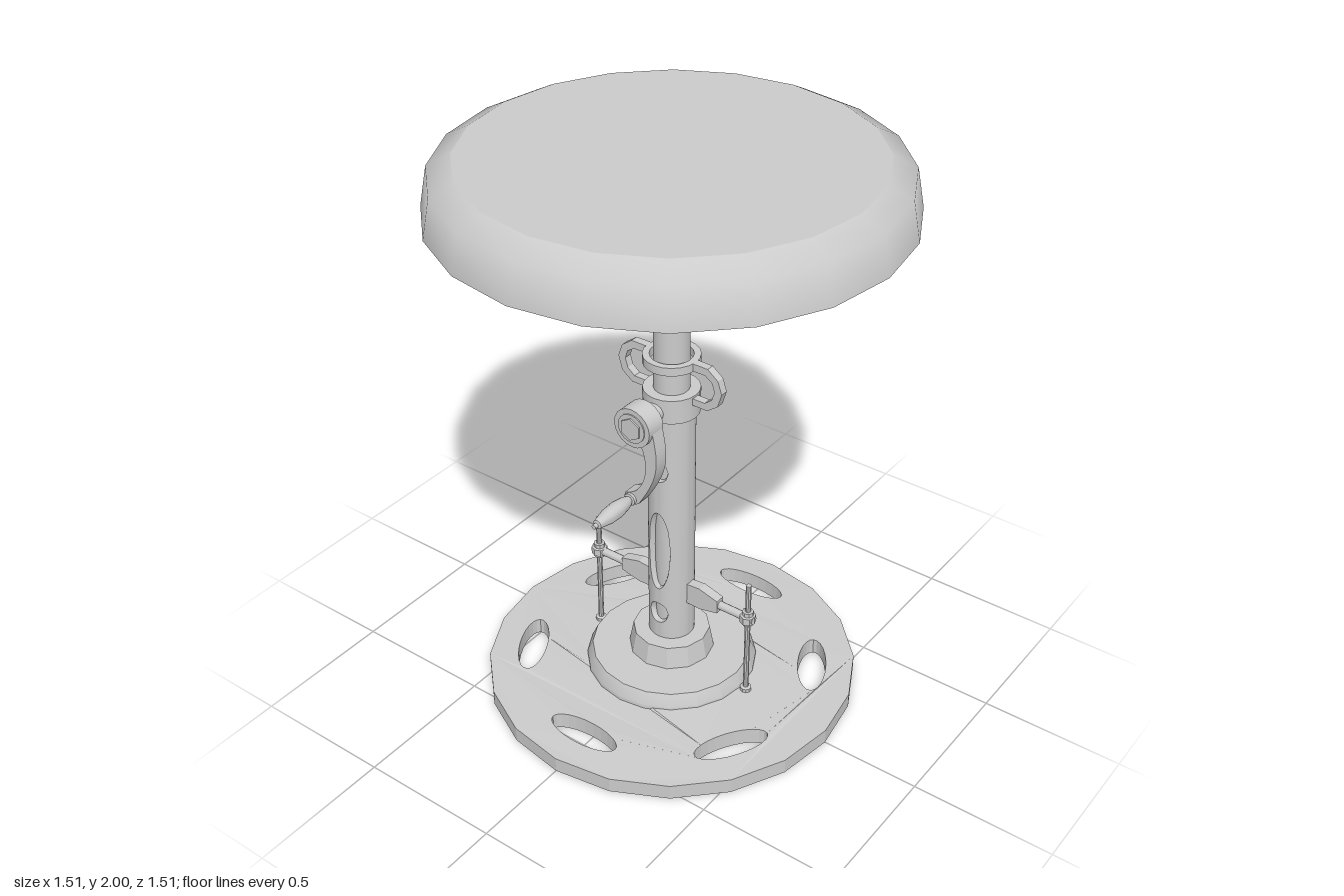
import * as THREE from 'three';
import { toCreasedNormals } from 'three/addons/utils/BufferGeometryUtils.js';

const grey = new THREE.MeshStandardMaterial({ color: 0xcccccc });
const greyDouble = new THREE.MeshStandardMaterial({ color: 0xcccccc, side: THREE.DoubleSide });
const vec = (pts) => pts.map(([x, y]) => new THREE.Vector2(x, y));

function add(parent, name, geometry, material = grey) {
  const mesh = new THREE.Mesh(geometry, material);
  mesh.name = name;
  parent.add(mesh);
  return mesh;
}

// Turned part from a [radius, height] profile, bottom to top
const turned = (pts, sides, crease = 0.6) =>
  toCreasedNormals(new THREE.LatheGeometry(vec(pts), sides), crease);

// Flat outline extruded between two depths
function plate(shape, z0, z1, curveSegments = 8) {
  const g = new THREE.ExtrudeGeometry(shape, { depth: z1 - z0, bevelEnabled: false, curveSegments });
  return g.translate(0, 0, z0);
}

// Solid or hollow straight cylinder
const ring = (ro, ri, y0, y1, sides) =>
  turned([[ri, y0], [ro, y0], [ro, y1], [ri, y1], [ri, y0]], sides);

// Base plate: polygon disc with six oval slots, top rising gently to the middle
function basePlate() {
  const R = 0.65, sides = 20, shape = new THREE.Shape();
  const polygon = (r) => Array.from({ length: sides }, (_, i) => {
    const a = (i / sides) * Math.PI * 2;
    return new THREE.Vector2(r * Math.cos(a), r * Math.sin(a));
  });
  shape.setFromPoints(polygon(R));
  shape.holes.push(new THREE.Path(polygon(0.25)));
  for (let i = 0; i < 6; i++) {
    const a = Math.PI / 6 + (i * Math.PI) / 3;
    const slot = new THREE.Path();
    slot.absellipse(0.5 * Math.cos(a), 0.5 * Math.sin(a), 0.05, 0.135, 0, Math.PI * 2, false, a);
    shape.holes.push(slot);
  }
  const g = plate(shape, 0, 0.055, 12).rotateX(-Math.PI / 2);
  const p = g.attributes.position;
  for (let i = 0; i < p.count; i++) {
    if (p.getY(i) > 0.01) p.setY(i, 0.055 + 0.035 * (R - Math.hypot(p.getX(i), p.getZ(i))));
  }
  g.computeVertexNormals();
  return g;
}

// Outer tube with oval windows cut through front and back
function windowedTube(y0, y1, rOut, rIn) {
  const steps = 64, d = (Math.PI * 2) / steps, pos = [];
  const windows = [
    { y: 0.305, h: 0.042, n: 5 },
    { y: 0.57, h: 0.16, n: 6 },
    { y: 0.9, h: 0.042, n: 5 },
  ];
  const at = (i, y, r) => [r * Math.sin(i * d), y, r * Math.cos(i * d)];
  const quad = (a, b, c, e) => pos.push(...a, ...b, ...c, ...a, ...c, ...e);
  const half = (w, i) => {
    const k = ((i + 16) % 32) - 16; // steps away from front or back centre
    return w.h * Math.sqrt(Math.max(0, 1 - (k / w.n) ** 2));
  };
  for (let i = 0; i < steps; i++) {
    const j = i + 1;
    let low = [y0, y0];
    for (const w of [...windows, null]) {
      const hi = w ? half(w, i) : 0, hj = w ? half(w, j) : 0;
      const top = w ? [w.y - hi, w.y - hj] : [y1, y1];
      quad(at(i, low[0], rOut), at(j, low[1], rOut), at(j, top[1], rOut), at(i, top[0], rOut));
      if (!w) break;
      low = [w.y + hi, w.y + hj];
      if (hi + hj > 0) {
        quad(at(i, top[0], rOut), at(j, top[1], rOut), at(j, top[1], rIn), at(i, top[0], rIn));
        quad(at(i, low[0], rIn), at(j, low[1], rIn), at(j, low[1], rOut), at(i, low[0], rOut));
      }
    }
  }
  const g = new THREE.BufferGeometry();
  g.setAttribute('position', new THREE.Float32BufferAttribute(pos, 3));
  return toCreasedNormals(g, 0.6);
}

// Strap handle beside the collar, drawn for +x
function sideHandle() {
  return plate(new THREE.Shape(vec([
    [0.075, 1.16], [0.15, 1.16], [0.19, 1.19], [0.205, 1.24], [0.19, 1.285], [0.15, 1.315], [0.075, 1.315],
    [0.075, 1.288], [0.14, 1.288], [0.167, 1.27], [0.177, 1.24], [0.167, 1.207], [0.14, 1.185], [0.075, 1.185],
  ])), -0.014, 0.014);
}

// Arm, threaded rod, nut and foot on one side, drawn for +x
function sideClamp() {
  const clamp = new THREE.Group();
  clamp.name = 'sideClamp';
  add(clamp, 'wing', plate(new THREE.Shape(vec([
    [0.07, 0.345], [0.13, 0.343], [0.205, 0.36], [0.205, 0.41], [0.13, 0.43], [0.07, 0.425],
  ])), -0.018, 0.018));
  const bar = new THREE.CylinderGeometry(0.015, 0.015, 0.15, 10).rotateZ(Math.PI / 2);
  add(clamp, 'bar', bar.translate(0.27, 0.385, 0));
  const upright = new THREE.Group();
  upright.name = 'upright';
  upright.position.x = 0.32;
  clamp.add(upright);
  add(upright, 'rod', turned([[0, 0.06], [0.01, 0.06], [0.01, 0.525], [0, 0.525]], 10));
  add(upright, 'nut', turned(
    [[0, 0.36], [0.02, 0.36], [0.02, 0.37], [0.028, 0.372], [0.028, 0.398], [0.02, 0.4], [0.02, 0.415], [0, 0.415]], 8));
  add(upright, 'foot', turned([[0, 0.06], [0.02, 0.06], [0.02, 0.078], [0, 0.085]], 10));
  return clamp;
}

// Hand crank on the front of the collar
function crank() {
  const g = new THREE.Group();
  g.name = 'crank';
  const disc = (name, r, z0, z1, sides) => {
    const c = new THREE.CylinderGeometry(r, r, z1 - z0, sides).rotateX(Math.PI / 2);
    add(g, name, toCreasedNormals(c.translate(0, 1.14, (z0 + z1) / 2), 0.6));
  };
  disc('shaft', 0.033, 0.05, 0.15, 16);
  disc('hub', 0.07, 0.14, 0.212, 20);
  disc('hubBoss', 0.052, 0.21, 0.216, 20);
  disc('hexBolt', 0.04, 0.21, 0.222, 6);
  const arm = new THREE.Shape();
  arm.moveTo(-0.06, 1.12);
  arm.splineThru(vec([[-0.015, 1.08], [0.025, 1.065], [0.04, 1.0], [0.03, 0.94], [0, 0.89], [-0.045, 0.865]]));
  arm.splineThru(vec([[-0.045, 0.84], [-0.02, 0.828], [0.01, 0.84]]));
  arm.splineThru(vec([[0.05, 0.91], [0.077, 0.98], [0.083, 1.05], [0.068, 1.14]]));
  arm.closePath();
  add(g, 'arm', toCreasedNormals(plate(arm, 0.142, 0.195, 4), 0.6));
  const grip = turned([
    [0, 0.11], [0.007, 0.115], [0.007, 0.13], [0.022, 0.132], [0.022, 0.205], [0.014, 0.207], [0.022, 0.225],
    [0.029, 0.27], [0.027, 0.32], [0.018, 0.36], [0.016, 0.372], [0.008, 0.376], [0.008, 0.39], [0, 0.392],
  ], 14).rotateX(Math.PI / 2);
  add(g, 'grip', grip.translate(-0.02, 0.85, 0));
  return g;
}

export function createModel() {
  const model = new THREE.Group();
  model.name = 'stool';

  // Base
  add(model, 'basePlate', basePlate());
  add(model, 'baseCore', turned([[0, 0], [0.255, 0], [0.255, 0.068], [0, 0.068]], 20));
  add(model, 'baseStep', turned([[0.3, 0.06], [0.3, 0.075], [0.28, 0.12], [0, 0.12]], 20, 0.45));
  add(model, 'tubeSocket', turned([[0.15, 0.118], [0.135, 0.2], [0, 0.2]], 12, 0.45));

  // Column
  add(model, 'outerTube', windowedTube(0.19, 1.12, 0.08, 0.058), greyDouble);
  add(model, 'innerPost', turned([[0, 0.15], [0.06, 0.15], [0.06, 1.84], [0, 1.84]], 24));
  add(model, 'collar', ring(0.095, 0.055, 1.105, 1.192, 20));
  add(model, 'upperRing', ring(0.095, 0.072, 1.285, 1.315, 20));
  model.add(crank());

  // Paired parts, the second turned half round
  for (const turn of [0, Math.PI]) {
    add(model, 'sideHandle', sideHandle()).rotation.y = turn;
    const clamp = sideClamp();
    clamp.rotation.y = turn;
    model.add(clamp);
  }

  // Seat
  add(model, 'seatSide', turned([[0.757, 1.83], [0.732, 1.96], [0.655, 2]], 20, 1));
  add(model, 'seatTop', new THREE.CircleGeometry(0.655, 20).rotateX(-Math.PI / 2).translate(0, 2, 0));
  add(model, 'seatUnderside', new THREE.CircleGeometry(0.757, 20).rotateX(Math.PI / 2).translate(0, 1.83, 0));
  return model;
}
